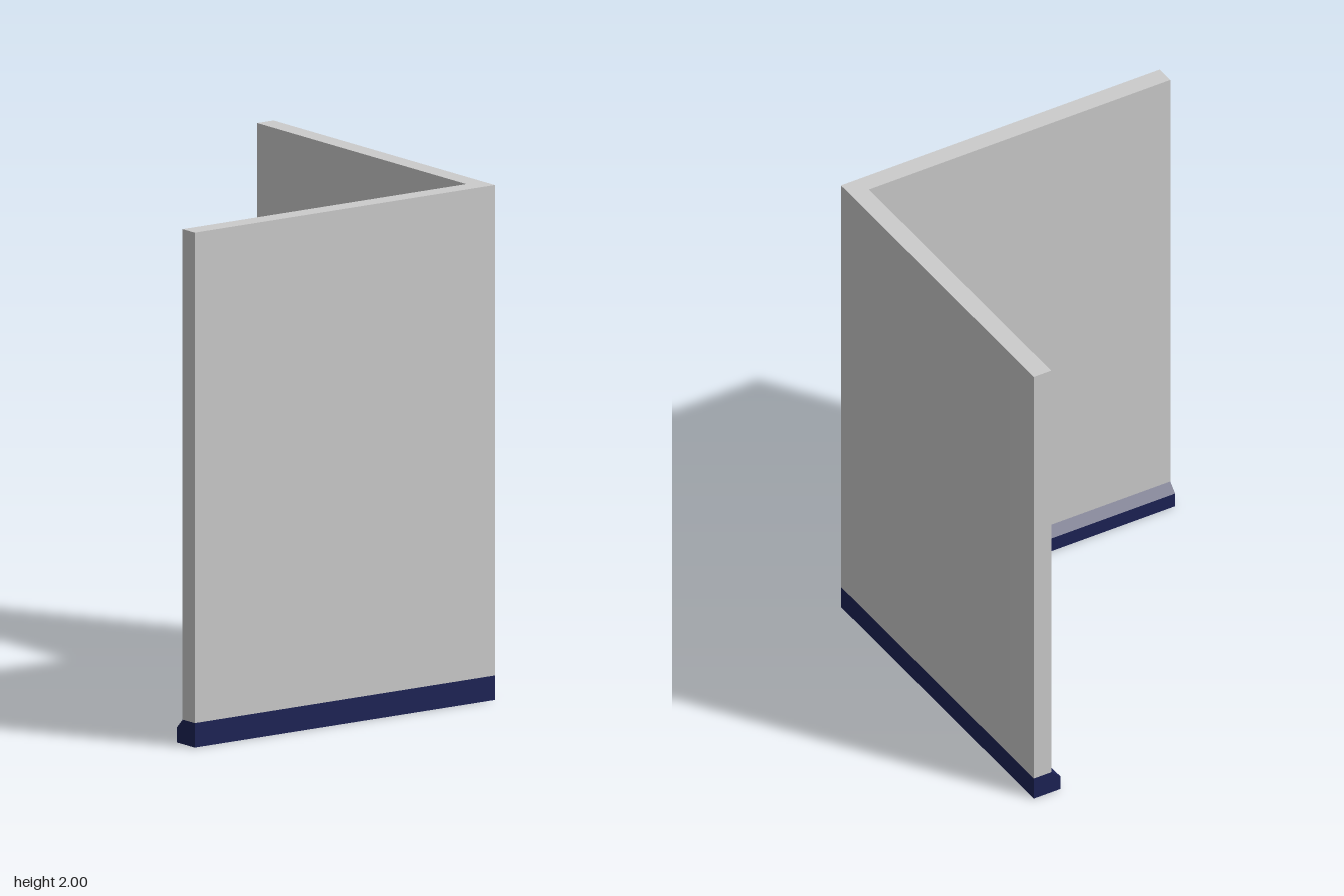
import * as THREE from 'three';

const H = 0.707;      // half of the footprint
const WALL = 0.077;   // wall thickness
const BASE = 0.095;   // skirting height

// Hollow skirting swept around the corner: [offset on right arm, offset on front arm, y]
function skirtingGeometry() {
  const profile = [
    [0, 0, 0], [0, 0, BASE],
    [WALL, WALL, BASE], [0.117, 0.112, 0.06], [0.117, 0.112, 0],
  ];
  // cross-sections at the back end, the mitred corner and the far front end
  const rings = [
    profile.map(([r, , y]) => [H - r, y, -H]),
    profile.map(([r, f, y]) => [H - r, y, H - f]),
    profile.map(([, f, y]) => [-H, y, H - f]),
  ];
  const pos = [];
  const tri = (a, b, c) => pos.push(...a, ...b, ...c);

  // outer board, sloped top and inner board; the underside stays open
  for (let s = 0; s < 2; s++) {
    for (const i of [0, 2, 3]) {
      const a = rings[s][i], b = rings[s + 1][i];
      const c = rings[s + 1][i + 1], d = rings[s][i + 1];
      tri(a, d, c);
      tri(a, c, b);
    }
  }
  // end caps
  for (let i = 1; i < 4; i++) {
    tri(rings[0][0], rings[0][i + 1], rings[0][i]);
    tri(rings[2][0], rings[2][i], rings[2][i + 1]);
  }
  const geo = new THREE.BufferGeometry();
  geo.setAttribute('position', new THREE.Float32BufferAttribute(pos, 3));
  geo.computeVertexNormals();
  return geo;
}

export function createModel() {
  const model = new THREE.Group();
  model.name = 'cornerWall';

  // L-shaped wall, drawn in plan (shape y becomes -z) and raised
  const t = H - WALL;
  const plan = new THREE.Shape([
    [-H, -H], [H, -H], [H, H], [t, H], [t, -t], [-H, -t],
  ].map(([x, y]) => new THREE.Vector2(x, y)));
  const wallGeo = new THREE.ExtrudeGeometry(plan, { depth: 2 - BASE, bevelEnabled: false });
  wallGeo.rotateX(-Math.PI / 2);
  wallGeo.translate(0, BASE, 0);
  const walls = new THREE.Mesh(wallGeo, new THREE.MeshStandardMaterial({ color: 0xcccccc }));
  walls.name = 'walls';

  // dark blue skirting
  const skirting = new THREE.Mesh(
    skirtingGeometry(),
    new THREE.MeshStandardMaterial({ color: 0x1c2255, side: THREE.DoubleSide })
  );
  skirting.name = 'skirting';

  model.add(walls, skirting);
  return model;
}
